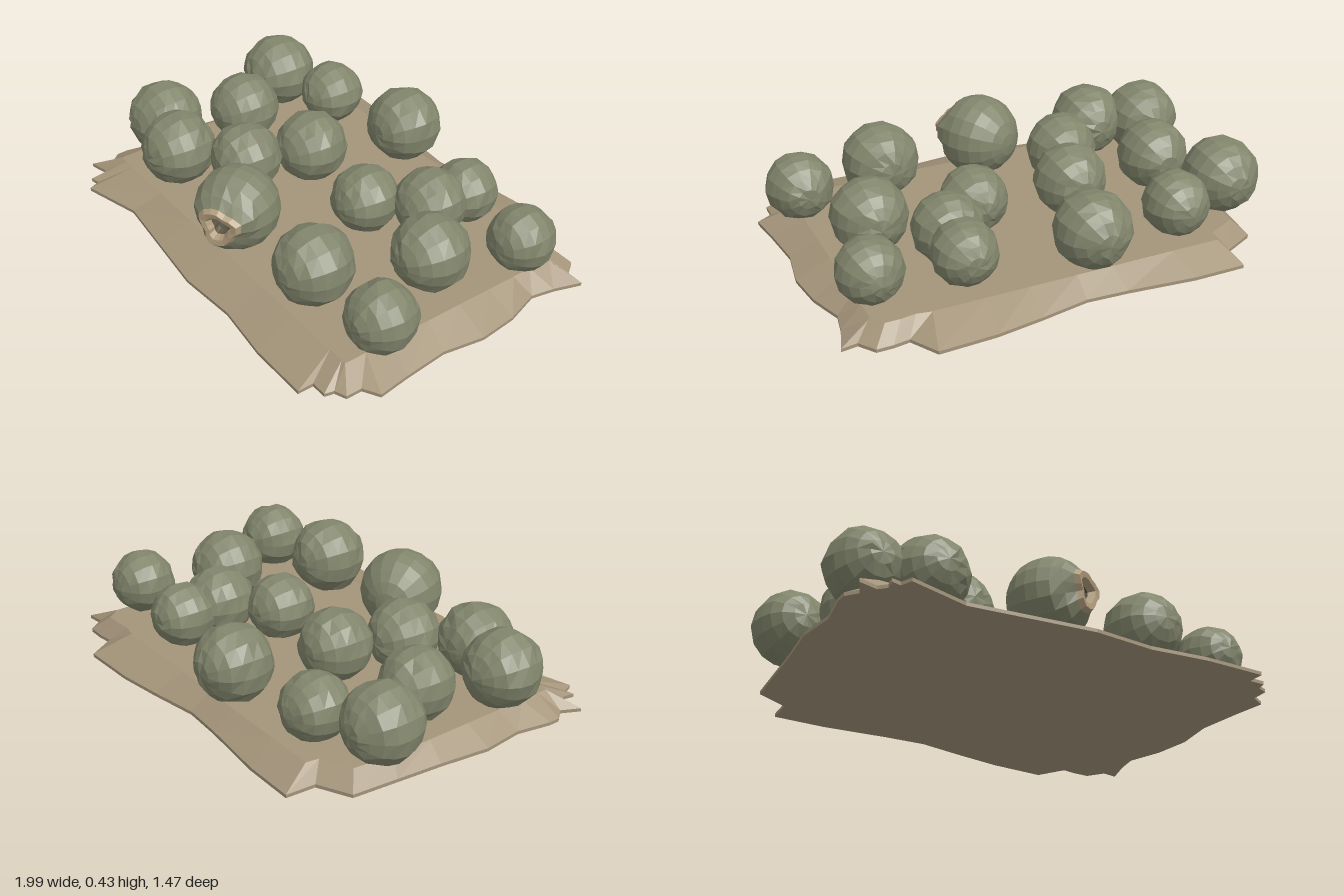
import * as THREE from 'three';

const cloth = new THREE.MeshStandardMaterial({ color: 0xa4947a, flatShading: true, side: THREE.DoubleSide });
const skin = new THREE.MeshStandardMaterial({ color: 0x82866c, flatShading: true, side: THREE.DoubleSide });
const flesh = new THREE.MeshStandardMaterial({ color: 0xb09c7c, flatShading: true, side: THREE.DoubleSide });
const hollow = new THREE.MeshStandardMaterial({ color: 0x5c5644, flatShading: true, side: THREE.DoubleSide });

// Ragged edge of the mat as x, z pairs
const EDGE = [
  [-0.73, -0.70], [-0.5, -0.70], [-0.2, -0.67], [-0.02, -0.66], [0.2, -0.70], [0.4, -0.73], [0.65, -0.74],
  [0.72, -0.62], [0.79, -0.63], [0.86, -0.63], [0.91, -0.56], [0.98, -0.57], [0.94, -0.45], [0.92, -0.35],
  [0.97, -0.2], [0.99, -0.03], [0.96, 0.15], [0.98, 0.35], [1.0, 0.49], [0.93, 0.53], [0.93, 0.6],
  [0.88, 0.62], [0.87, 0.66], [0.80, 0.66], [0.80, 0.73], [0.53, 0.73], [0.27, 0.70], [0, 0.72],
  [-0.27, 0.69], [-0.54, 0.66], [-0.80, 0.73], [-0.82, 0.68], [-0.86, 0.69], [-0.85, 0.64], [-0.88, 0.61],
  [-0.96, 0.63], [-0.92, 0.55], [-0.96, 0.5], [-0.96, 0.45], [-0.93, 0.3], [-0.95, 0.12], [-0.92, -0.1],
  [-0.90, -0.3], [-0.88, -0.5], [-0.74, -0.57],
];

// Position hash in the range -1..1; shared seam vertices get the same value
function noise(x, y, z) {
  const s = Math.sin(Math.round(x * 1e3) * 12.99 + Math.round(y * 1e3) * 78.23 + Math.round(z * 1e3) * 37.72) * 43758.55;
  return (s - Math.floor(s)) * 2 - 1;
}

// Mat: bottom, thin upright edge, sloping border and raised flat top
function makeMat() {
  const clamp = THREE.MathUtils.clamp;
  const rings = [
    EDGE.map(([x, z]) => [x, 0, z]),
    EDGE.map(([x, z]) => [x, 0.015, z]),
    EDGE.map(([x, z]) => [clamp(x * 0.93, -0.84, 0.84), 0.08, clamp(z * 0.9, -0.57, 0.54)]),
  ];
  const n = EDGE.length;
  const pos = rings.flat(2);
  const index = [];
  const bottom = n * 3, top = bottom + 1;
  pos.push(0, 0, 0, 0, 0.08, 0);
  for (let i = 0; i < n; i++) {
    const j = (i + 1) % n;
    index.push(bottom, i, j, top, 2 * n + j, 2 * n + i);
    for (let k = 0; k < 2; k++) {
      const a = k * n + i, b = k * n + j;
      index.push(a, a + n, b, b, a + n, b + n);
    }
  }
  const g = new THREE.BufferGeometry();
  g.setAttribute('position', new THREE.Float32BufferAttribute(pos, 3));
  g.setIndex(index);
  g.computeVertexNormals();
  return g;
}

// Lumpy faceted ball with its poles along z
function makeBall(r, seed) {
  const g = new THREE.SphereGeometry(r, 14, 10).rotateX(Math.PI / 2);
  const p = g.attributes.position;
  for (let i = 0; i < p.count; i++) {
    const x = p.getX(i), y = p.getY(i), z = p.getZ(i);
    const k = 1 + 0.03 * noise(x + seed, y, z);
    p.setXYZ(i, x * k, y * k, z * k);
  }
  g.computeVertexNormals();
  return g;
}

// Lathe along +z from [radius, z] points, made uneven close to the opening
function tornLathe(points) {
  const g = new THREE.LatheGeometry(points.map(([r, y]) => new THREE.Vector2(r, y)), 16).rotateX(Math.PI / 2);
  const p = g.attributes.position;
  for (let i = 0; i < p.count; i++) {
    const x = p.getX(i), y = p.getY(i), z = p.getZ(i);
    const a = Math.atan2(y, x);
    const w = THREE.MathUtils.smoothstep(z, 0.08, 0.15);
    const k = 1 + w * (0.16 * Math.sin(3 * a + 0.6) + 0.07 * Math.sin(5 * a));
    p.setXYZ(i, x * k, y * k, z);
  }
  g.computeVertexNormals();
  return g;
}

// Ball with a torn opening: skin, pale rim and dark hollow
function makeTornBall(r) {
  const group = new THREE.Group();
  const shell = [];
  for (let i = 0; i <= 9; i++) {
    const t = Math.PI - (i / 9) * (Math.PI - 0.52);
    shell.push([Math.max(r * Math.sin(t), 0.0001), r * Math.cos(t)]);
  }
  const [er, ez] = shell[9];
  const parts = [
    ['tornSkin', shell, skin],
    ['tornRim', [[er, ez], [er * 0.86, ez + 0.022], [er * 0.6, ez + 0.018], [er * 0.45, ez - 0.01]], flesh],
    ['hollow', [[er * 0.45, ez - 0.01], [er * 0.4, ez - 0.04], [0.0001, ez - 0.06]], hollow],
  ];
  for (const [name, pts, mat] of parts) {
    const m = new THREE.Mesh(tornLathe(pts), mat);
    m.name = name;
    group.add(m);
  }
  return group;
}

// Whole balls as x, z, radius
const BALLS = [
  [-0.83, -0.325, 0.165], [-0.55, -0.43, 0.142], [-0.115, -0.51, 0.165], [0.405, -0.42, 0.14],
  [0.79, -0.39, 0.14], [-0.67, -0.02, 0.155], [-0.23, -0.08, 0.157], [0.205, -0.045, 0.146],
  [0.4, -0.235, 0.153], [0.66, -0.02, 0.163], [-0.8, 0.32, 0.165], [-0.56, 0.4, 0.163],
  [-0.33, 0.2, 0.155], [0.455, 0.405, 0.168], [0.835, 0.365, 0.146],
];

export function createModel() {
  const model = new THREE.Group();
  const mat = new THREE.Mesh(makeMat(), cloth);
  mat.name = 'mat';
  model.add(mat);

  BALLS.forEach(([x, z, r], i) => {
    const ball = new THREE.Mesh(makeBall(r, i), skin);
    ball.name = 'ball' + (i + 1);
    ball.position.set(x, 0.075 + r, z);
    model.add(ball);
  });

  const torn = makeTornBall(0.18);
  torn.name = 'tornBall';
  torn.position.set(-0.03, 0.25, 0.44);
  torn.rotation.y = 0.5;
  model.add(torn);
  return model;
}
